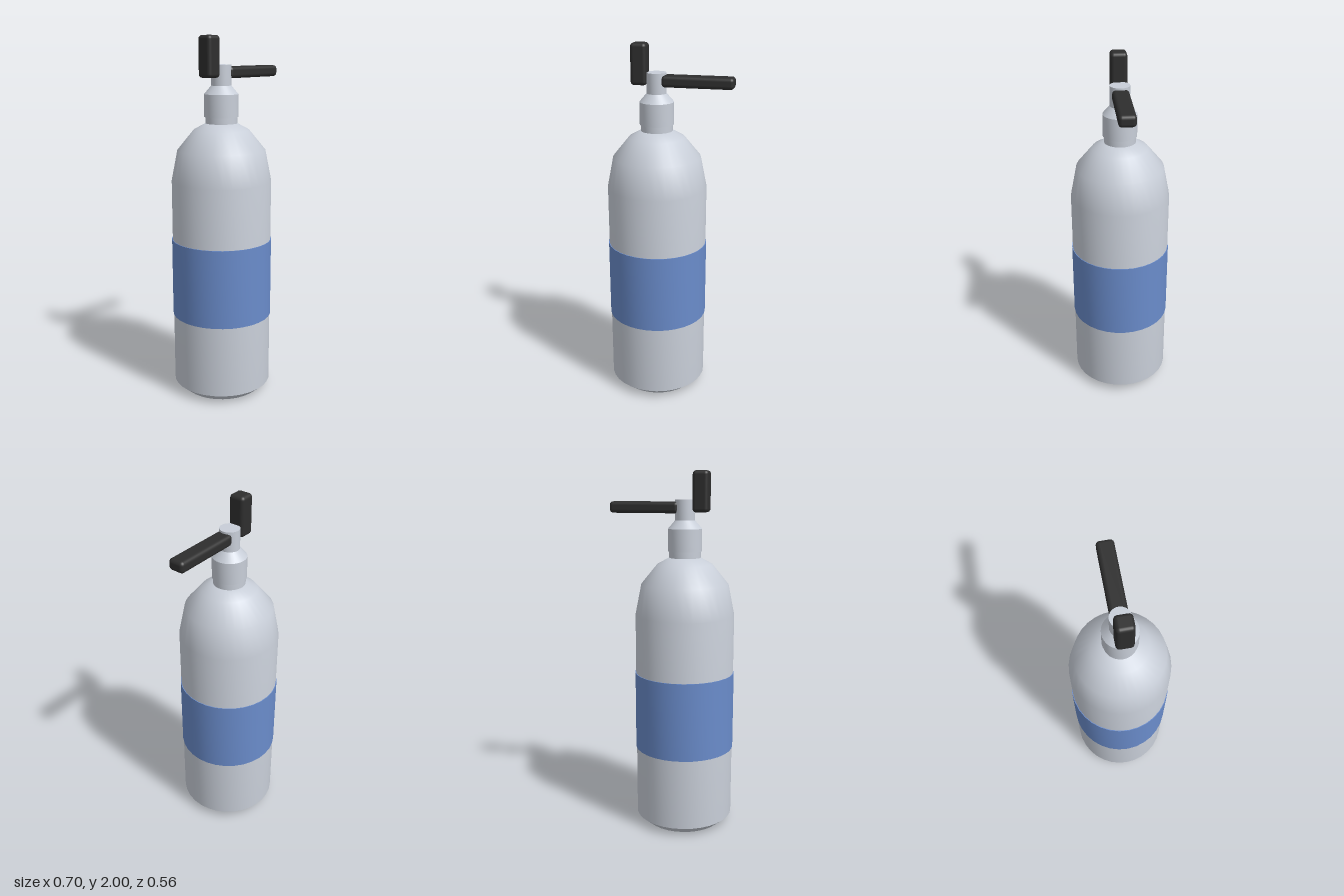
import * as THREE from 'three';
import { toCreasedNormals } from 'three/addons/utils/BufferGeometryUtils.js';
import { RoundedBoxGeometry } from 'three/addons/geometries/RoundedBoxGeometry.js';

const AXIS_X = -0.07; // centre line of the tank

export function createModel() {
  const group = new THREE.Group();
  const silver = new THREE.MeshStandardMaterial({ name: 'silver metal', color: 0xc8ced8 });
  const blue = new THREE.MeshStandardMaterial({ name: 'blue band', color: 0x6a8ccb });
  const black = new THREE.MeshStandardMaterial({ name: 'black rubber', color: 0x2e2e2e });

  const add = (name, geometry, material, x, y) => {
    const mesh = new THREE.Mesh(geometry, material);
    mesh.name = name;
    mesh.position.set(x, y, 0);
    group.add(mesh);
  };

  // Turned part from [radius, height] points, sharp only at strong corners
  const turned = (name, profile, material) => {
    const points = profile.map(([r, y]) => new THREE.Vector2(r, y));
    add(name, toCreasedNormals(new THREE.LatheGeometry(points, 32), 0.6), material, AXIS_X, 0);
  };

  // Tank with chamfered foot and domed shoulder
  turned('tank', [
    [0, 0], [0.22, 0], [0.276, 0.047], [0.276, 1.22],
    [0.242, 1.39], [0.152, 1.5], [0.087, 1.535], [0, 1.535],
  ], silver);

  // Thin painted band around the tank
  turned('band', [[0.275, 0.45], [0.28, 0.45], [0.28, 0.89], [0.275, 0.89]], blue);

  // Neck, valve collar and stem
  turned('neck', [[0.087, 1.52], [0.087, 1.575]], silver);
  turned('valve', [
    [0, 1.57], [0.093, 1.57], [0.093, 1.692], [0.054, 1.737],
    [0.054, 1.847], [0, 1.847],
  ], silver);

  // Side lever and upright knob
  add('lever', new RoundedBoxGeometry(0.39, 0.062, 0.09, 3, 0.02), black, 0.155, 1.805);
  add('knob', new RoundedBoxGeometry(0.088, 0.22, 0.09, 3, 0.02), black, -0.161, 1.89);

  return group;
}
